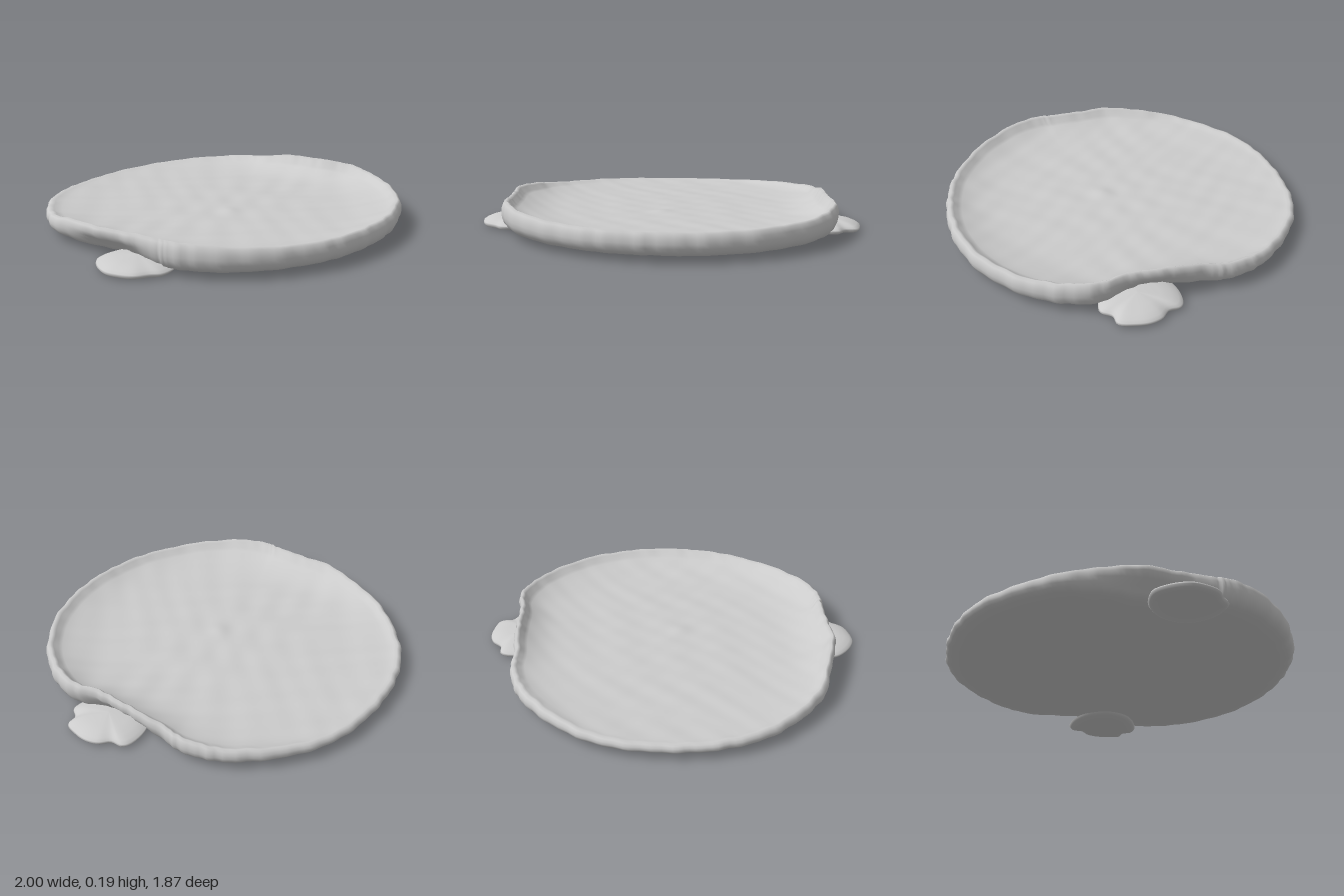
import * as THREE from 'three';

const material = new THREE.MeshStandardMaterial({ color: 0xcccccc, roughness: 0.8 });

// Skin a list of closed rings (each an array of Vector3) into one smooth surface.
function skin(rings, name) {
  const n = rings[0].length, index = [];
  const geometry = new THREE.BufferGeometry().setFromPoints(rings.flat());
  for (let r = 0; r < rings.length - 1; r++) {
    for (let i = 0; i < n; i++) {
      const a = r * n + i, b = r * n + (i + 1) % n;
      index.push(a, b, a + n, b, b + n, a + n);
    }
  }
  geometry.setIndex(index);
  geometry.computeVertexNormals();
  const mesh = new THREE.Mesh(geometry, material);
  mesh.name = name;
  return mesh;
}

// Closed smooth outline from [x, z, y] points, running front -> right -> back -> left.
function outline(points, count) {
  const curve = new THREE.CatmullRomCurve3(
    points.map(([x, z, y = 0]) => new THREE.Vector3(x, y, z)), true);
  return Array.from({ length: count }, (_, i) => curve.getPoint(i / count));
}

// Soft hand-formed unevenness.
const ripple = (x, z) =>
  0.6 * Math.sin(19 * x + 5 * z + 2 * Math.sin(6 * z)) * Math.sin(21 * z - 4 * x) +
  0.4 * Math.sin(31 * x - 9 * z + 1) * Math.sin(34 * z + 2 + 2 * Math.sin(5 * x));

function createPlate() {
  // Rim: x, z, rim height
  const rim = outline([
    [0, 0.93, 0.15], [0.2, 0.915, 0.15], [0.4, 0.855, 0.15], [0.6, 0.74, 0.152],
    [0.77, 0.56, 0.155], [0.86, 0.38, 0.165], [0.89, 0.2, 0.178], [0.845, 0.05, 0.187],
    [0.825, -0.08, 0.185], [0.805, -0.2, 0.18], [0.765, -0.36, 0.155], [0.755, -0.45, 0.145],
    [0.7, -0.58, 0.13], [0.6, -0.7, 0.12], [0.4, -0.84, 0.105], [0.2, -0.918, 0.095],
    [0, -0.935, 0.09], [-0.2, -0.915, 0.09], [-0.4, -0.86, 0.094], [-0.6, -0.745, 0.1],
    [-0.77, -0.55, 0.112], [-0.855, -0.38, 0.13], [-0.88, -0.2, 0.155], [-0.9, 0, 0.17],
    [-0.86, 0.18, 0.172], [-0.825, 0.36, 0.175], [-0.815, 0.43, 0.175], [-0.75, 0.56, 0.172],
    [-0.6, 0.72, 0.16], [-0.4, 0.84, 0.152], [-0.2, 0.91, 0.15],
  ], 240);
  const floor = 0.073, base = 0.028;

  // Cross-section from underside centre, up the wall, to the rim:
  // scale, height fraction, level the fraction starts from
  const section = [
    [0.001, 0, base], [0.3, 0, base], [0.6, 0, base], [0.85, 0, base], [0.92, 0.01, base],
    [0.96, 0.06, base], [0.985, 0.2, base], [0.997, 0.38, base], [1, 0.55, base],
    [0.998, 0.75, base], [0.988, 0.93, base], [0.974, 1, base], [0.957, 0.93, base],
  ];
  // Dished floor, easing down from the rim to the centre
  for (let s = 0.935; s > 0; s -= 0.022) {
    section.push([s, Math.max(0, (s - 0.3) / 0.7) ** 5, floor]);
  }
  section.push([0.001, 0, floor]);

  const rings = section.map(([scale, t, from], k) => rim.map((p, i) => {
    // Lower wall tucks in above each lug, so the rim overhangs there
    const lug = p.x > 0 ? -0.08 : 0.06;
    const tuck = 0.085 * Math.exp(-(((p.z - lug) / 0.2) ** 2)) * (Math.abs(p.x) > 0.7 ? 1 : 0);
    const low = k > 2 && k < 11 ? 1 - THREE.MathUtils.smoothstep(t, 0.2, 0.8) : 0;
    // Finger marks around the wall
    const a = (i / rim.length) * Math.PI * 2;
    const mark = Math.sin(47 * a + 2 * Math.sin(5 * a)) * Math.sin(13 * a + 1);
    const bump = k > 4 && k < 13 ? 0.005 * mark : 0;
    const s = scale * (1 - tuck * low) + bump;
    const x = p.x * s, z = p.z * s;
    const wobble = (k > 9 ? 0.0035 : 0.0015) * ripple(x, z);
    const knob = k > 12 ? 0.006 * Math.exp(-((x + 0.05) ** 2 + (z - 0.09) ** 2) / 0.003) : 0;
    return new THREE.Vector3(x, from + t * (p.y - from) + wobble + knob, z);
  }));
  return skin(rings, 'plate');
}

// Flat domed lug pressed under the rim; its underside lifts towards the plate.
function createLug(name, points, cx, cz) {
  const edge = outline(points, 64);
  const section = [
    [0.001, 0.004], [0.6, 0.003], [0.85, 0.002], [0.95, 0.007], [1, 0.018],
    [0.98, 0.027], [0.9, 0.037], [0.75, 0.049], [0.5, 0.059], [0.001, 0.064],
  ];
  return skin(section.map(([s, y], k) => edge.map((p) => {
    const x = cx + (p.x - cx) * s;
    const lift = k < 5 ? 0.012 * THREE.MathUtils.clamp((0.85 - Math.abs(x)) / 0.25, 0, 1) : 0;
    return new THREE.Vector3(x, y + lift, cz + (p.z - cz) * s);
  })), name);
}

export function createModel() {
  const group = new THREE.Group();
  group.name = 'dish';
  group.add(createPlate());
  group.add(createLug('leftLug', [
    [0.6, 0], [0.66, 0.12], [0.78, 0.18], [0.89, 0.185], [0.925, 0.13], [0.985, 0.11],
    [1, 0.03], [0.995, -0.04], [0.965, -0.1], [0.91, -0.14], [0.895, -0.195], [0.86, -0.215],
    [0.75, -0.2], [0.65, -0.13],
  ], 0.81, 0));
  group.add(createLug('rightLug', [
    [-0.6, 0.24], [-0.65, 0.11], [-0.76, 0.04], [-0.9, 0.035], [-0.965, 0.1], [-1, 0.2],
    [-0.985, 0.27], [-0.945, 0.34], [-0.88, 0.375], [-0.83, 0.41], [-0.74, 0.4], [-0.65, 0.34],
  ], -0.81, 0.21));
  return group;
}
